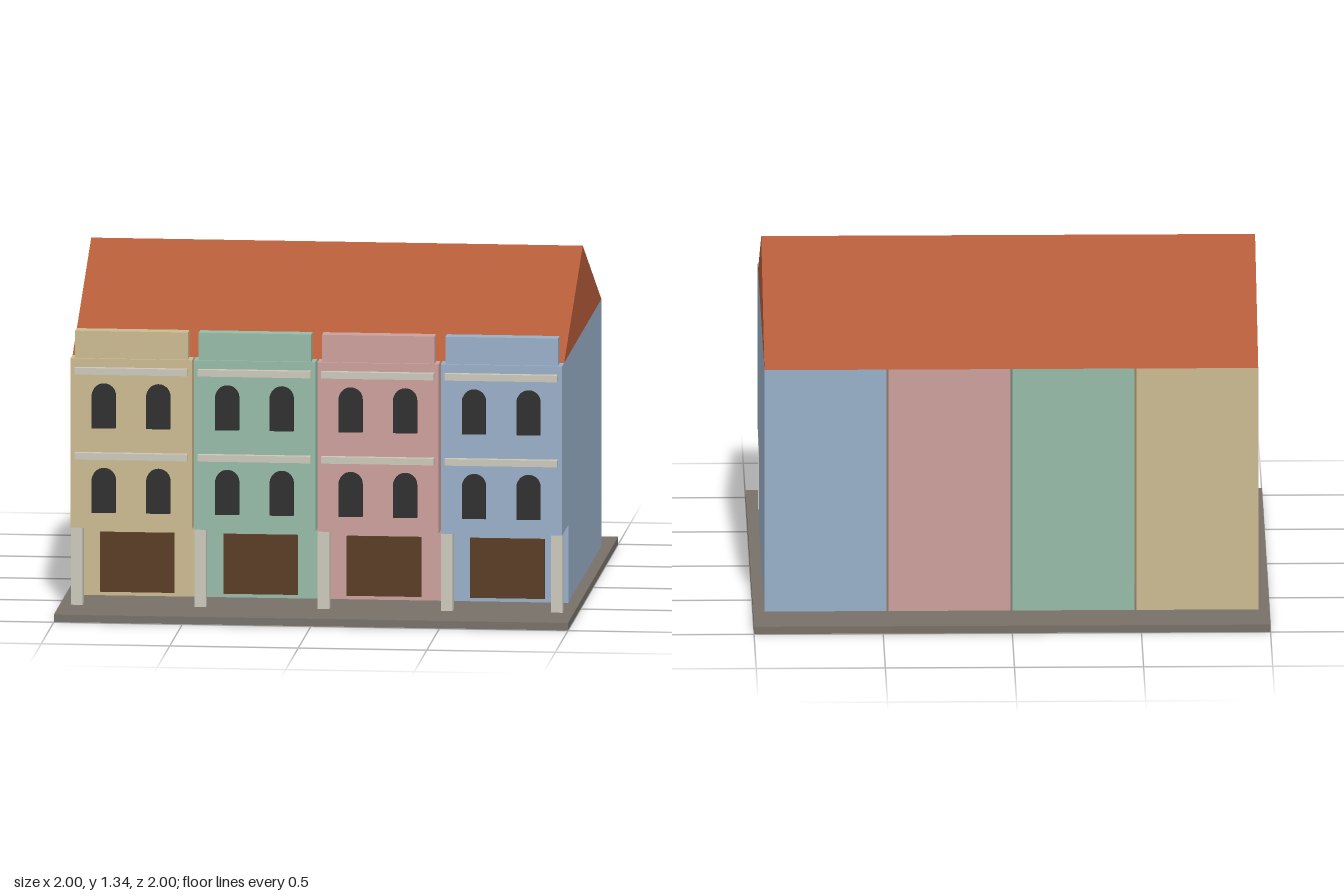
import * as THREE from 'three';

const mat = (name, color) => {
  const m = new THREE.MeshStandardMaterial({ color });
  m.name = name;
  return m;
};

// Extrudes a side profile of [z, y] points along x, centred on x = 0
function sideExtrude(points, width) {
  const shape = new THREE.Shape(points.map(([z, y]) => new THREE.Vector2(-z, y)));
  const geo = new THREE.ExtrudeGeometry(shape, { depth: width, bevelEnabled: false });
  return geo.translate(0, 0, -width / 2).rotateY(Math.PI / 2);
}

// Round-topped window, standing on y = 0
function archGeometry(width, height, depth) {
  const r = width / 2;
  const s = new THREE.Shape();
  s.moveTo(-r, 0);
  s.lineTo(r, 0);
  s.lineTo(r, height - r);
  s.absarc(0, height - r, r, 0, Math.PI, false);
  s.closePath();
  return new THREE.ExtrudeGeometry(s, { depth, bevelEnabled: false, curveSegments: 8 });
}

export function createModel() {
  const model = new THREE.Group();
  model.name = 'shophouseRow';

  const walls = [
    mat('cream wall', 0xcbba91), mat('green wall', 0x97baa6),
    mat('pink wall', 0xcb9f9b), mat('blue wall', 0x98afc8),
  ];
  const roofMat = mat('terracotta', 0xb45b39);
  const paving = mat('paving', 0x777068);
  const trim = mat('pale stone', 0xcbc7ba);
  const glass = mat('dark glass', 0x2d2d2d);
  const wood = mat('brown wood', 0x593b22);

  const add = (parent, name, geo, material, x = 0, y = 0, z = 0) => {
    const mesh = new THREE.Mesh(geo, material);
    mesh.name = name;
    mesh.position.set(x, y, z);
    parent.add(mesh);
  };
  // Box given by its x centre, width and y / z limits
  const box = (parent, name, material, x, w, y0, y1, z0, z1) =>
    add(parent, name, new THREE.BoxGeometry(w, y1 - y0, z1 - z0), material,
      x, (y0 + y1) / 2, (z0 + z1) / 2);

  // Pavement slab, its underside just above the wall footings
  box(model, 'pavement', paving, 0, 2, 0.001, 0.03, -1, 1);

  // One house: upper floors overhang a recessed ground floor
  const body = sideExtrude([
    [-0.777, 0], [0.537, 0], [0.537, 0.335], [0.78, 0.335], [0.78, 1], [-0.777, 1],
  ], 0.472);
  const arch = archGeometry(0.093, 0.174, 0.02);

  walls.forEach((wall, i) => {
    const house = new THREE.Group();
    house.name = 'house' + (i + 1);
    house.position.x = (i - 1.5) * 0.48;
    model.add(house);

    add(house, 'walls', body, wall);
    box(house, 'parapet', wall, 0, 0.438, 1, 1.107, 0.71, 0.77);
    box(house, 'shopDoor', wood, 0, 0.29, 0.045, 0.28, 0.537, 0.546);
    box(house, 'pillar', trim, -0.2135, 0.045, 0, 0.335, 0.717, 0.767);
    for (const y of [0.607, 0.941]) {
      box(house, 'ledge', trim, 0, 0.438, y, y + 0.026, 0.78, 0.806);
    }
    for (const y of [0.398, 0.73]) {
      for (const x of [-0.106, 0.106]) add(house, 'archedWindow', arch, glass, x, y, 0.78);
    }
  });

  // Closing pillar at the end of the row
  box(model, 'endPillar', trim, 0.9335, 0.045, 0, 0.335, 0.717, 0.767);

  // Shared gable roof
  const roof = sideExtrude([[-0.78, 1], [0.7, 1], [-0.04, 1.335]], 1.912);
  add(model, 'roof', roof, roofMat);

  return model;
}
